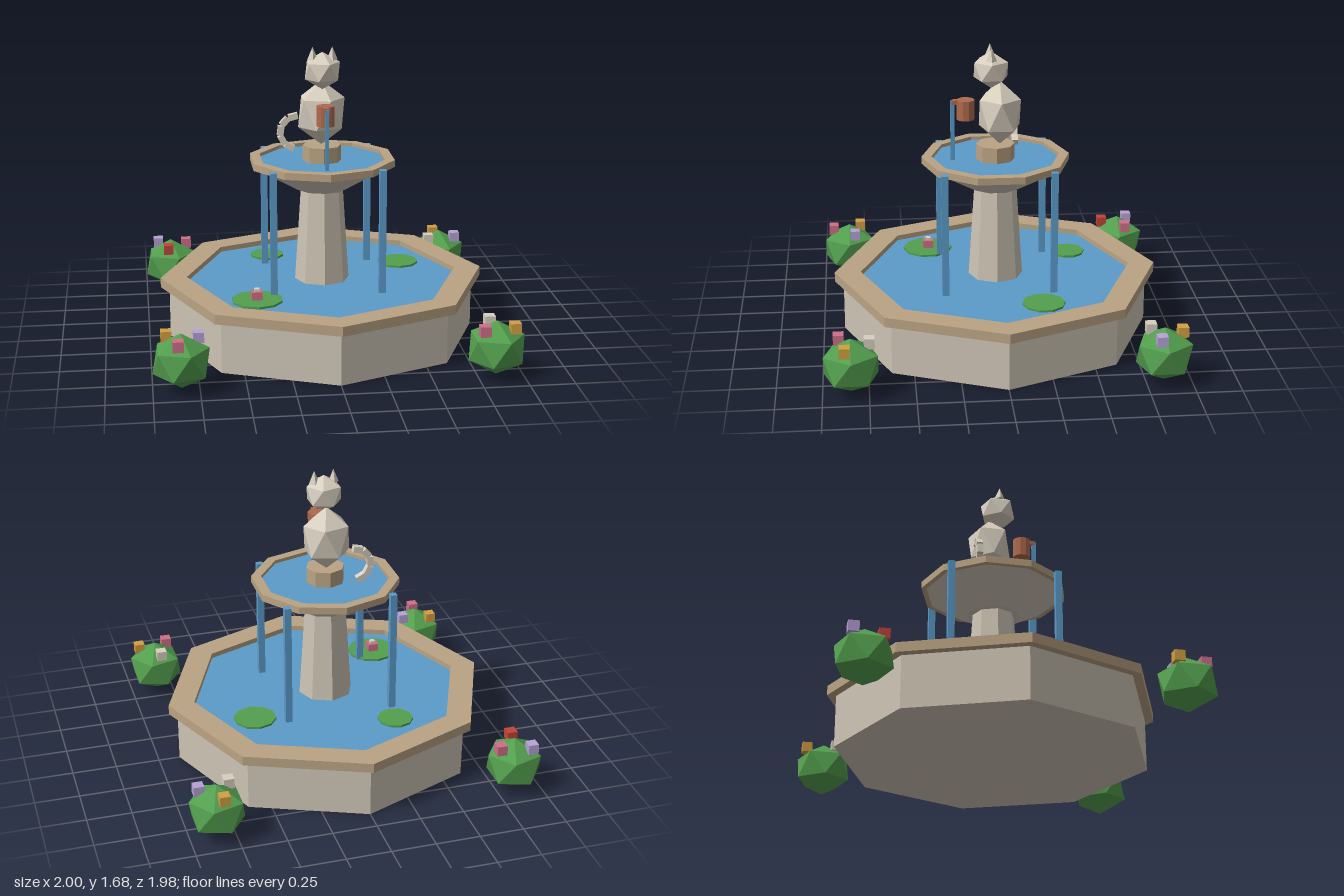
import * as THREE from 'three';
import { ConvexGeometry } from 'three/addons/geometries/ConvexGeometry.js';

const mat = (name, color) => {
  const m = new THREE.MeshStandardMaterial({ color });
  m.name = name;
  return m;
};

export function createModel() {
  const root = new THREE.Group();
  root.name = 'catFountain';

  const stone = mat('stone', 0xcdc4b4);
  const sand = mat('sandstone', 0xbaa383);
  const water = mat('water', 0x5b9bc9);
  const pale = mat('paleStone', 0xd8cfbf);
  const clay = mat('terracotta', 0xb06a4e);
  const green = mat('leafGreen', 0x539f4e);
  const gold = mat('gold', 0xd2a042);
  const pink = mat('pink', 0xcf6f88);
  const lilac = mat('lilac', 0xb6a2d6);
  const red = mat('red', 0xc2443a);

  // Faceted normals for every part
  const facet = (g) => {
    const f = g.index ? g.toNonIndexed() : g;
    f.computeVertexNormals();
    return f;
  };
  const add = (name, geo, material, x = 0, y = 0, z = 0, parent = root) => {
    const mesh = new THREE.Mesh(facet(geo), material);
    mesh.name = name;
    mesh.position.set(x, y, z);
    parent.add(mesh);
    return mesh;
  };
  const box = (name, w, h, d, material, x, y, z, parent) =>
    add(name, new THREE.BoxGeometry(w, h, d), material, x, y, z, parent);
  // Prism or frustum standing between two heights
  const prism = (name, rTop, rBottom, y0, y1, sides, material, x = 0, z = 0, parent = root) =>
    add(name, new THREE.CylinderGeometry(rTop, rBottom, y1 - y0, sides), material, x, (y0 + y1) / 2, z, parent);
  // Square-section ring
  const ring = (name, rIn, rOut, y0, y1, sides, material) => {
    const p = [[rIn, y0], [rOut, y0], [rOut, y1], [rIn, y1], [rIn, y0]];
    add(name, new THREE.LatheGeometry(p.map(([r, y]) => new THREE.Vector2(r, y)), sides), material);
  };
  // Twenty-sided ball with a corner at top and bottom
  const ball = (rx, ry, rz) => {
    const pts = [new THREE.Vector3(0, ry, 0), new THREE.Vector3(0, -ry, 0)];
    for (let i = 0; i < 10; i++) {
      const a = (i * Math.PI) / 5, h = i % 2 ? -0.4472 : 0.4472;
      pts.push(new THREE.Vector3(Math.cos(a) * 0.8944 * rx, h * ry, Math.sin(a) * 0.8944 * rz));
    }
    return new ConvexGeometry(pts);
  };

  // Lower basin
  prism('basinWall', 0.88, 0.88, 0, 0.3, 8, stone);
  ring('basinRim', 0.78, 0.93, 0.295, 0.35, 8, sand);
  prism('basinWater', 0.79, 0.79, 0.29, 0.32, 8, water);

  // Column and upper bowl
  prism('column', 0.12, 0.157, 0.3, 0.87, 8, stone);
  prism('upperBowl', 0.39, 0.15, 0.86, 1.0, 10, stone);
  ring('upperRim', 0.363, 0.42, 1.0, 1.04, 10, sand);
  prism('upperWater', 0.37, 0.37, 0.99, 1.02, 10, water);
  prism('pedestal', 0.11, 0.11, 1.01, 1.11, 8, sand);

  // Falling water
  for (const x of [-0.305, 0.305])
    for (const z of [-0.305, 0.305]) box('waterJet', 0.038, 0.72, 0.038, water, x, 0.67, z);

  // Lily pads and their blossom
  for (const [x, z, r] of [[-0.28, -0.455, 0.1], [0.48, -0.23, 0.12], [-0.405, 0.375, 0.144]])
    prism('lilyPad', r, r, 0.315, 0.332, 10, green, x, z);
  box('lilyBlossom', 0.06, 0.05, 0.06, pink, -0.407, 0.352, 0.372);
  box('lilyCentre', 0.03, 0.03, 0.03, pale, -0.407, 0.376, 0.372);

  // Cat statue
  const cat = new THREE.Group();
  cat.name = 'catStatue';
  root.add(cat);
  add('body', ball(0.148, 0.186, 0.136), pale, 0, 1.292, -0.025, cat);
  add('head', ball(0.111, 0.106, 0.111), pale, 0, 1.541, 0.025, cat);
  for (const s of [-1, 1])
    add('ear', new THREE.ConeGeometry(0.031, 0.075, 4), pale, s * 0.055, 1.64, 0.026, cat);
  for (let i = 0; i < 5; i++) {
    const a = ((103 + i * 35) * Math.PI) / 180;
    const seg = box('tailSegment', 0.036, 0.055, 0.036, pale,
      -0.13 + Math.cos(a) * 0.093, 1.157 + Math.sin(a) * 0.093, -0.127, cat);
    seg.rotation.z = a;
  }

  // Pouring pot
  prism('pot', 0.051, 0.051, 1.257, 1.37, 10, clay, 0, 0.168);
  box('potSpout', 0.03, 0.025, 0.045, clay, 0, 1.357, 0.223);
  box('potStream', 0.02, 0.35, 0.024, water, 0, 1.188, 0.242);

  // Corner bushes, each with three blossoms
  const spotsLeft = [[-0.076, -0.068], [0.095, -0.035], [-0.017, 0.096]];
  const spotsRight = [[-0.02, -0.101], [0.092, 0.032], [-0.079, 0.063]];
  const bushes = [
    [-1, -1, spotsLeft, [lilac, pink, red]],
    [1, -1, spotsRight, [gold, lilac, pale]],
    [-1, 1, spotsLeft, [gold, lilac, pink]],
    [1, 1, spotsRight, [pale, gold, pink]],
  ];
  for (const [sx, sz, spots, colours] of bushes) {
    const bush = new THREE.Group();
    bush.name = 'bush';
    bush.position.set(sx * 0.847, 0, sz * 0.845);
    root.add(bush);
    add('foliage', ball(0.17, 0.153, 0.172), green, 0, 0.168, 0, bush);
    spots.forEach(([x, z], i) => box('blossom', 0.058, 0.058, 0.058, colours[i], x, 0.288, z, bush));
  }
  return root;
}
